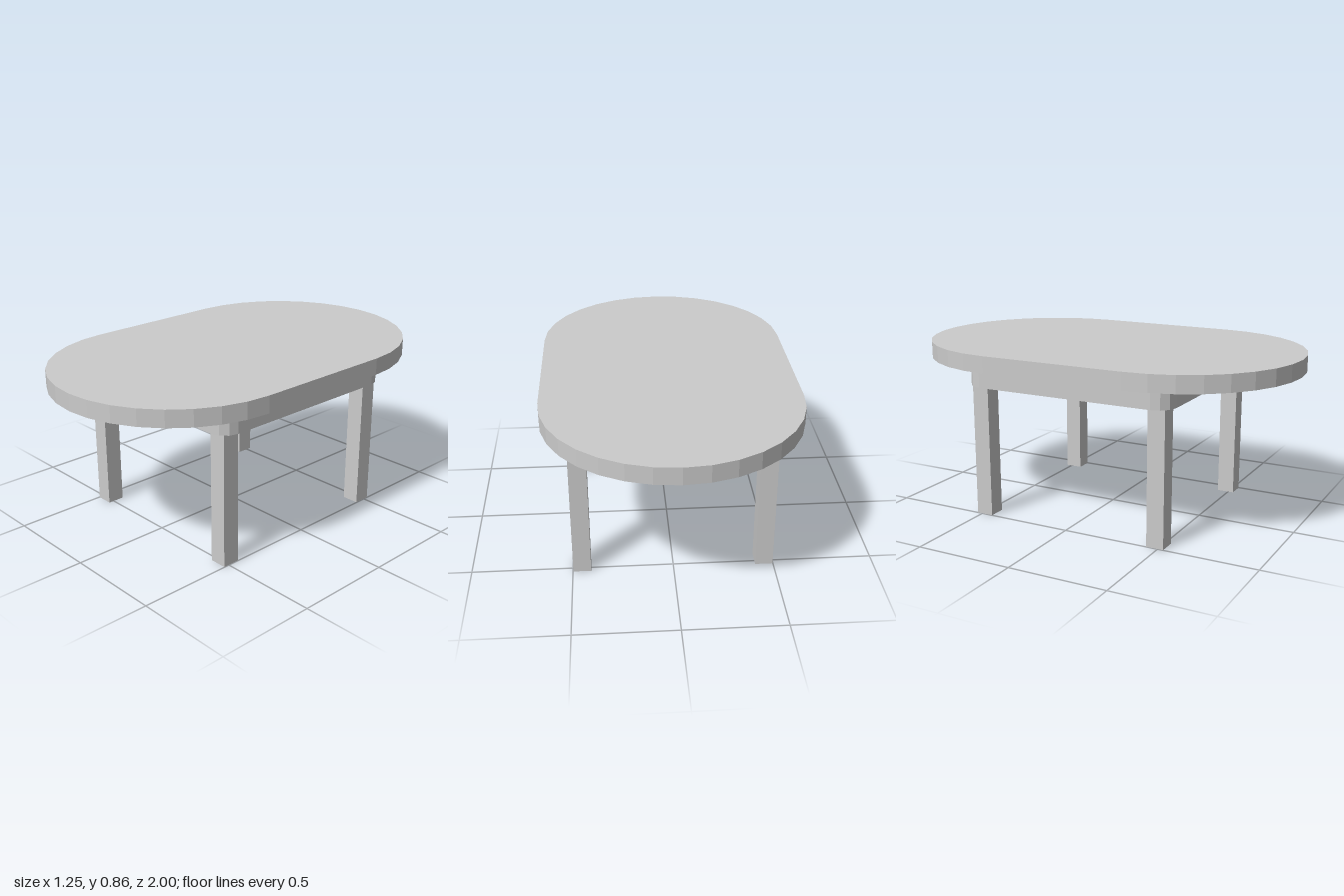
import * as THREE from 'three';

const material = new THREE.MeshStandardMaterial({ color: 0xcccccc, flatShading: true });

// Outline of a rounded rectangle with a fixed number of facets per corner
function roundedOutline(halfX, halfZ, radius, facets) {
  const points = [];
  const centres = [[1, 1], [-1, 1], [-1, -1], [1, -1]];
  centres.forEach(([sx, sz], corner) => {
    for (let i = 0; i <= facets; i++) {
      const a = (corner + i / facets) * Math.PI / 2;
      const p = new THREE.Vector2(
        sx * (halfX - radius) + radius * Math.cos(a),
        sz * (halfZ - radius) + radius * Math.sin(a));
      const last = points[points.length - 1];
      if (!last || last.distanceTo(p) > 1e-5) points.push(p);
    }
  });
  return points;
}

// Horizontal slab from an outline, between two heights
function slab(name, shape, bottom, top) {
  const geometry = new THREE.ExtrudeGeometry(shape, { depth: top - bottom, bevelEnabled: false });
  geometry.rotateX(-Math.PI / 2);
  geometry.translate(0, bottom, 0);
  const mesh = new THREE.Mesh(geometry, material);
  mesh.name = name;
  return mesh;
}

export function createModel() {
  const table = new THREE.Group();
  table.name = 'table';

  // Top with two semicircular ends
  const topShape = new THREE.Shape(roundedOutline(0.627, 1, 0.627, 8));
  table.add(slab('tabletop', topShape, 0.775, 0.86));

  // Apron frame: rounded outer corners, square opening
  const apronShape = new THREE.Shape(roundedOutline(0.53, 0.557, 0.09, 3));
  const ix = 0.38, iz = 0.41;
  apronShape.holes.push(new THREE.Path([
    new THREE.Vector2(-ix, -iz), new THREE.Vector2(-ix, iz),
    new THREE.Vector2(ix, iz), new THREE.Vector2(ix, -iz),
  ]));
  table.add(slab('apron', apronShape, 0.675, 0.775));

  // Four square legs under the apron corners
  const legGeometry = new THREE.BoxGeometry(0.088, 0.675, 0.088);
  for (const [side, sx] of [['Left', 1], ['Right', -1]]) {
    for (const [end, sz] of [['front', 1], ['back', -1]]) {
      const leg = new THREE.Mesh(legGeometry, material);
      leg.name = `${end}${side}Leg`;
      leg.position.set(sx * 0.454, 0.3375, sz * 0.484);
      table.add(leg);
    }
  }
  return table;
}
